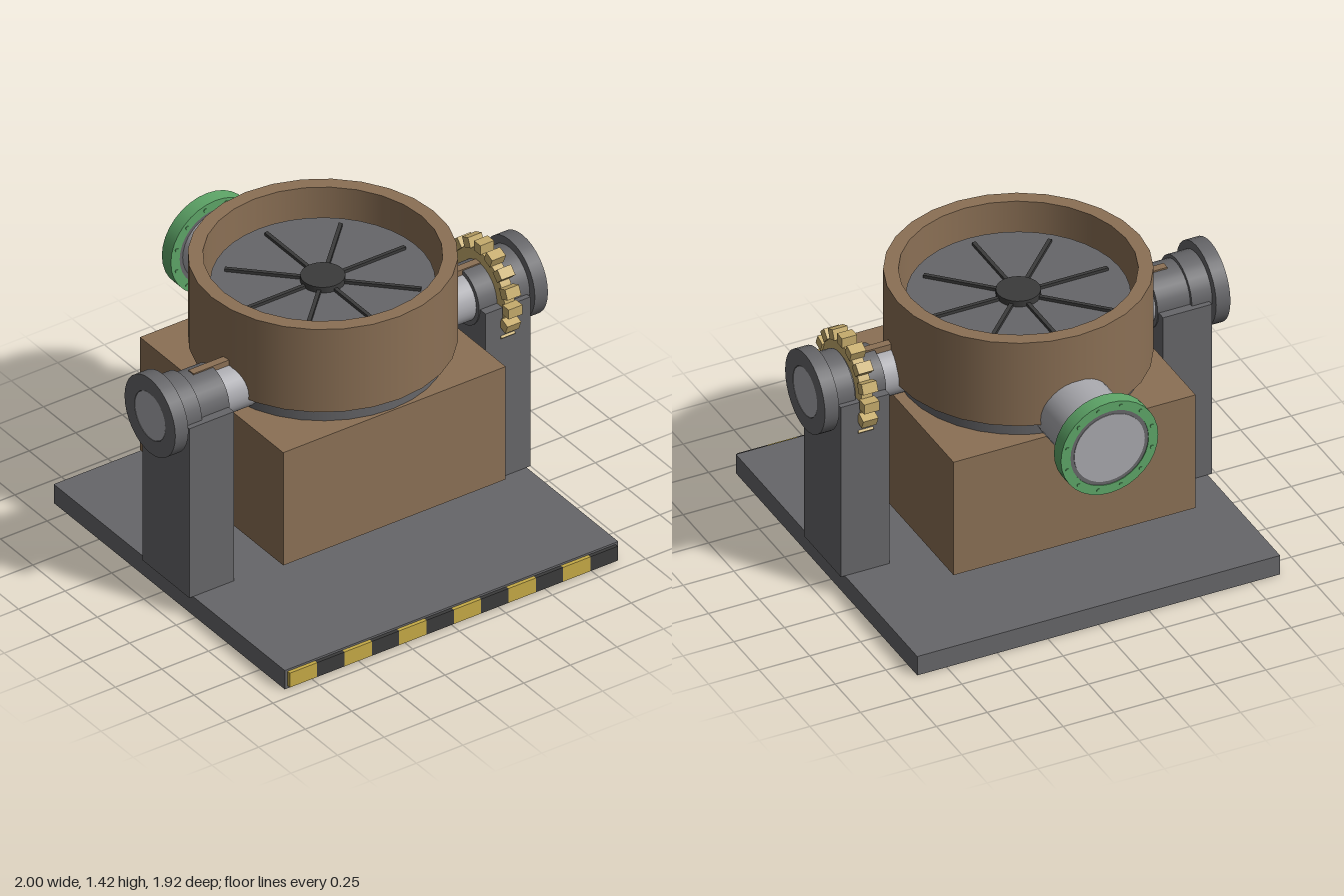
import * as THREE from 'three';

const mat = (name, color) => {
  const m = new THREE.MeshStandardMaterial({ color });
  m.name = name;
  return m;
};

export function createModel() {
  const brown = mat('bronze brown', 0x8b7055);
  const grey = mat('steel grey', 0x666669);
  const light = mat('light steel', 0xa9a9ae);
  const dark = mat('charcoal', 0x3b3b3b);
  const gold = mat('pale gold', 0xc6ac6d);
  const yellow = mat('hazard yellow', 0xc5aa46);
  const green = mat('flange green', 0x5ea668);

  const root = new THREE.Group();
  root.name = 'pivotingVessel';

  const add = (name, geo, material, x = 0, y = 0, z = 0, parent = root) => {
    const mesh = new THREE.Mesh(geo, material);
    mesh.name = name;
    mesh.position.set(x, y, z);
    parent.add(mesh);
    return mesh;
  };
  // Box given by its minimum and maximum corners
  const box = (name, material, a, b, parent = root) =>
    add(name, new THREE.BoxGeometry(b[0] - a[0], b[1] - a[1], b[2] - a[2]), material,
      (a[0] + b[0]) / 2, (a[1] + b[1]) / 2, (a[2] + b[2]) / 2, parent);
  // Cylinder along x between two positions
  const rodX = (name, material, r, x0, x1, y, z, parent) => {
    const g = new THREE.CylinderGeometry(r, r, Math.abs(x1 - x0), 32).rotateZ(Math.PI / 2);
    return add(name, g, material, (x0 + x1) / 2, y, z, parent);
  };
  // Cylinder along z between two positions
  const rodZ = (name, material, r, z0, z1, y) => {
    const g = new THREE.CylinderGeometry(r, r, Math.abs(z1 - z0), 32).rotateX(Math.PI / 2);
    return add(name, g, material, 0, y, (z0 + z1) / 2);
  };
  // Square-edged tube around y, each wall a separate strip so edges stay sharp
  const tube = (name, material, ri, ro, y0, y1, sides, parent = root) => {
    const group = new THREE.Group();
    group.name = name;
    const loop = [[ri, y0], [ro, y0], [ro, y1], [ri, y1], [ri, y0]];
    for (let i = 0; i < 4; i++) {
      const pts = [loop[i], loop[i + 1]].map(p => new THREE.Vector2(...p));
      add(name + 'Face', new THREE.LatheGeometry(pts, sides), material, 0, 0, 0, group);
    }
    parent.add(group);
    return group;
  };

  // Base plate with a hazard strip along the front
  box('basePlate', grey, [-0.895, 0, -0.85], [0.895, 0.1, 0.94]);
  const step = 1.76 / 12;
  for (let i = 0; i < 12; i++) {
    const x = -0.88 + i * step;
    box('hazardBlock', i % 2 ? dark : yellow, [x, 0.014, 0.935], [x + step, 0.09, 0.958]);
  }

  // Vessel: square body, neck, and open round rim
  const cz = -0.057;
  box('vesselBody', brown, [-0.597, 0.3, -0.612], [0.597, 0.9, 0.498]);
  add('neck', new THREE.CylinderGeometry(0.545, 0.545, 0.085, 32), grey, 0, 0.9425, cz);
  tube('vesselRim', brown, 0.53, 0.597, 0.98, 1.42, 28).position.z = cz;

  // Lid inside the rim, with hub and eight ribs
  add('lid', new THREE.CylinderGeometry(0.497, 0.497, 0.34, 40), grey, 0, 1.11, cz);
  add('lidHub', new THREE.CylinderGeometry(0.1, 0.1, 0.03, 24), dark, 0, 1.295, cz);
  for (let i = 0; i < 8; i++) {
    const rib = new THREE.BoxGeometry(0.38, 0.016, 0.018).translate(0.25, 0, 0).rotateY(i * Math.PI / 4);
    add('lidRib', rib, dark, 0, 1.287, cz);
  }

  // Side pivots, mirrored: pillar, axle, bearing, collar, end flange, pointer
  const pz = 0.047;
  for (const s of [-1, 1]) {
    const side = new THREE.Group();
    side.name = s > 0 ? 'leftPivot' : 'rightPivot';
    root.add(side);
    add('pillar', new THREE.BoxGeometry(0.24, 0.9, 0.365), grey, s * 0.795, 0.55, pz, side);
    rodX('axle', light, 0.118, s * 0.49, s * 0.999, 1, pz, side);
    rodX('bearing', grey, 0.14, s * 0.67, s * 0.83, 1, pz, side);
    rodX('collar', grey, 0.157, s * 0.83, s * 0.93, 1, pz, side);
    const flange = tube('endFlange', grey, 0.12, 0.197, 0.93, 1.0, 32, side);
    flange.rotation.z = -s * Math.PI / 2;
    flange.position.set(0, 1, pz);
    add('pointer', new THREE.BoxGeometry(0.28, 0.03, 0.038), brown, s * 0.635, 1.13, 0.04, side);
  }

  // Gear wheel on the left pivot
  const gear = new THREE.Group();
  gear.name = 'gear';
  gear.position.set(0.793, 1, pz);
  root.add(gear);
  rodX('gearWheel', gold, 0.2, -0.027, 0.027, 0, 0, gear);
  for (let i = 0; i < 16; i++) {
    const tooth = new THREE.BoxGeometry(0.074, 0.05, 0.05).translate(0, 0.22, 0).rotateX(i * Math.PI / 8);
    add('gearTooth', tooth, gold, 0, 0, 0, gear);
  }

  // Rear outlet pipe with green flange, seal and bolts
  rodZ('outletPipe', light, 0.174, -0.555, -0.957, 1.005);
  const ring = tube('outletFlange', green, 0.193, 0.24, 0.888, 0.958, 32);
  ring.rotation.x = -Math.PI / 2;
  ring.position.y = 1.005;
  rodZ('flangeSeal', grey, 0.194, -0.892, -0.954, 1.005);
  for (let i = 0; i < 12; i++) {
    const a = (i + 0.5) * Math.PI / 6;
    const bolt = new THREE.CylinderGeometry(0.009, 0.009, 0.078, 8).rotateX(Math.PI / 2);
    add('flangeBolt', bolt, green, 0.216 * Math.cos(a), 1.005 + 0.216 * Math.sin(a), -0.923);
  }

  return root;
}
